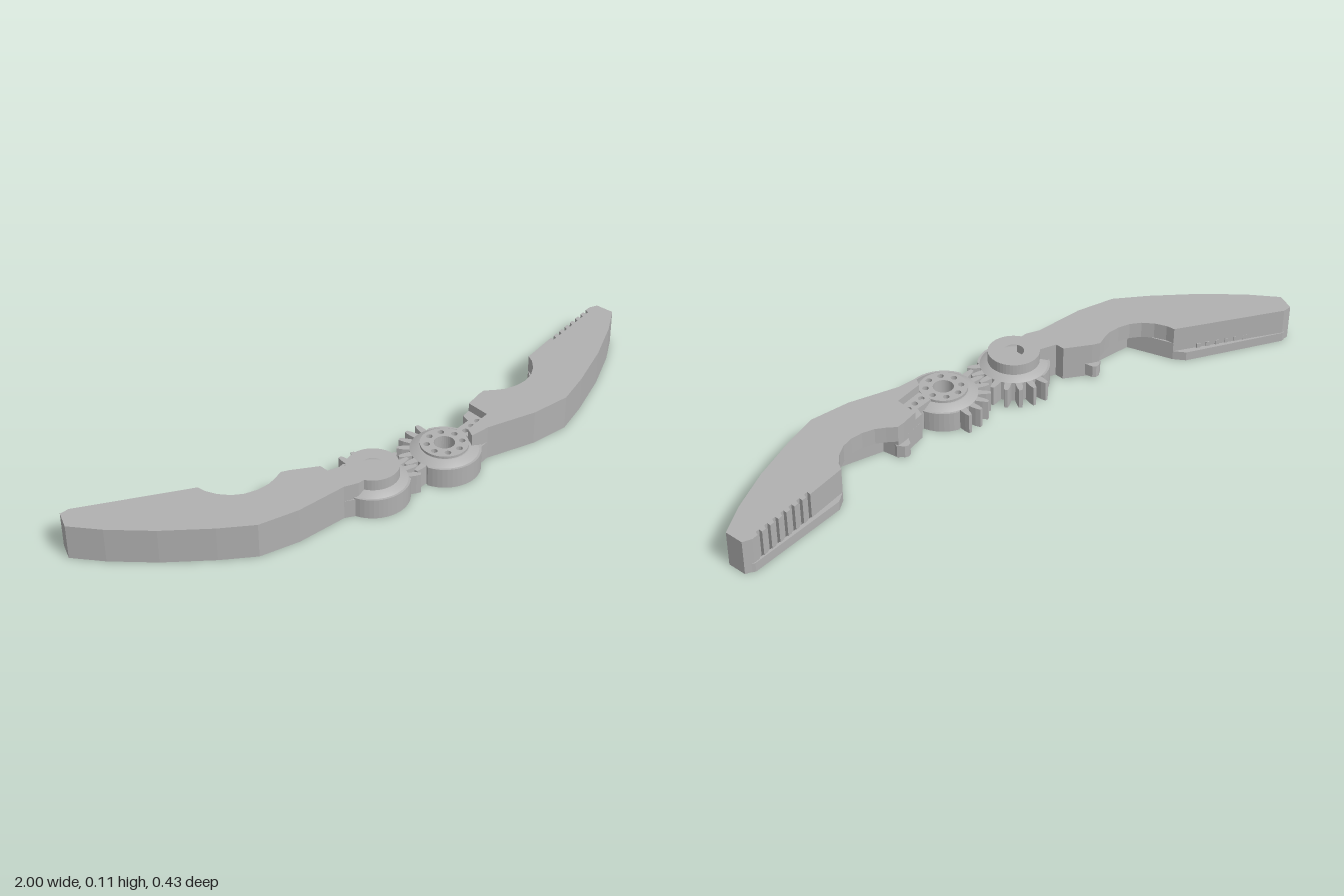
import * as THREE from 'three';

const HUB = [0.13, 0.1], HOLE_R = 0.032;

export function createModel() {
  const grey = new THREE.MeshStandardMaterial({ color: 0xb0b0b0 });
  grey.name = 'plain grey';
  const model = new THREE.Group();
  model.name = 'gearedGripper';

  const circle = (x, z, r, n = 32) => Array.from({ length: n }, (_, i) => {
    const a = (i / n) * Math.PI * 2;
    return [x + r * Math.cos(a), z - r * Math.sin(a)];
  });

  // Upright slab from a plan outline of [x, z] points; side mirrors it in x
  function slab(parent, name, side, outline, y0, y1, holes = []) {
    const toV = (pts) => pts.map(([x, z]) => new THREE.Vector2(x * side, -z));
    const shape = new THREE.Shape(toV(outline));
    for (const h of holes) shape.holes.push(new THREE.Path(toV(h)));
    const geo = new THREE.ExtrudeGeometry(shape, { depth: y1 - y0, bevelEnabled: false });
    geo.rotateX(-Math.PI / 2).translate(0, y0, 0);
    const mesh = new THREE.Mesh(geo, grey);
    mesh.name = name;
    parent.add(mesh);
  }

  // Hub outline with gear teeth on the back and inner side
  function gearOutline(firstDeg, count) {
    const pts = [];
    const put = (deg, r) => {
      const a = THREE.MathUtils.degToRad(deg);
      pts.push([HUB[0] + r * Math.cos(a), HUB[1] - r * Math.sin(a)]);
    };
    for (let k = 0; k < count; k++) {
      const d = firstDeg + k * 18;
      put(d - 6, 0.105);
      put(d - 4, 0.128);
      put(d - 2, 0.143);
      put(d + 2, 0.143);
      put(d + 4, 0.128);
      put(d + 6, 0.105);
    }
    const start = firstDeg + (count - 1) * 18 + 10, end = firstDeg + 360 - 10;
    for (let i = 0; i <= 30; i++) put(start + ((end - start) * i) / 30, 0.112);
    return pts;
  }

  const outerEdge = [
    [0.26, 0.143], [0.425, 0.162], [0.555, 0.153], [0.66, 0.1], [0.8, 0.015],
    [0.92, -0.075], [1, -0.15], [0.985, -0.21], [0.955, -0.215],
  ];
  const hollow = [
    [0.605, -0.095], [0.597, -0.068], [0.575, -0.035], [0.545, -0.008], [0.51, 0.008],
    [0.47, 0.013], [0.43, 0.008], [0.4, -0.005], [0.37, -0.022],
  ];
  const lowerNotch = [[0.605, -0.095], [0.53, 0.04], [0.39, 0.03], [0.37, -0.022]];
  const shoulder = [[0.345, -0.015], [0.26, 0.02], [0.255, 0.05]];

  for (const side of [1, -1]) {
    const ribbed = side === 1;
    const arm = new THREE.Group();
    arm.name = ribbed ? 'leftJaw' : 'rightJaw';
    model.add(arm);

    // Gripping edge: grooves along the left jaw, plain on the right
    const grip = [];
    if (ribbed) {
      for (let i = 0; i < 7; i++) {
        const x = 0.935 - i * 0.031, z = -0.215 + (0.955 - x) * 0.335;
        grip.push([x, z], [x - 0.002, z + 0.014], [x - 0.014, z + 0.018], [x - 0.016, z + 0.005]);
      }
    }

    // Arm: angular notch below, rounded hollow above
    slab(arm, 'lowerArm', side,
      [[0.19, 0.165], [0.225, 0.155], ...outerEdge, ...grip, ...lowerNotch, ...shoulder, [0.19, 0.06]], 0, 0.06);
    const inner = ribbed
      ? [[0.345, -0.015], [0.29, 0.008], [0.3, 0.085], [0.205, 0.117], [0.195, 0.15]]
      : [...shoulder, [0.185, 0.06], [0.175, 0.145], [0.215, 0.152]];
    slab(arm, 'upperArm', side, [...outerEdge, ...grip, ...hollow, ...inner], 0.06, 0.113);

    // Lip along the bottom of the gripping edge
    slab(arm, 'gripLip', side,
      [[0.965, -0.215], [0.955, -0.218], [0.635, -0.125], [0.605, -0.095]], 0, 0.03);
    if (!ribbed) {
      for (let i = 0; i < 8; i++) {
        const x = 0.9 - i * 0.03, z = -0.213 + (0.955 - x) * 0.32;
        slab(arm, 'gripRib', side,
          [[x, z], [x - 0.012, z + 0.004], [x - 0.012, z + 0.025], [x, z + 0.025]], 0.03, 0.045);
      }
    }

    // Small peg behind the shoulder
    slab(arm, 'hookPeg', side,
      [[0.325, -0.005], [0.335, -0.032], [0.345, -0.038], [0.357, -0.036], [0.375, -0.02], [0.375, 0]], 0.005, 0.045);

    // Toothed hub with a shaft hole
    const hole = circle(...HUB, HOLE_R);
    slab(arm, 'gearHub', side, gearOutline(ribbed ? 90 : 81, ribbed ? 7 : 8), 0, 0.065, [hole]);

    // Sloping collar on top of the hub
    const collarGeo = new THREE.LatheGeometry(
      [[0.105, 0.065], [0.08, 0.078], [0.07, 0.078]].map(([r, y]) => new THREE.Vector2(r, y)), 48);
    const collar = new THREE.Mesh(collarGeo, grey);
    collar.name = 'hubCollar';
    collar.position.set(side * HUB[0], 0, HUB[1]);
    arm.add(collar);

    if (ribbed) {
      // Low boss and recessed plate, both drilled for a servo horn
      const drill = [];
      for (let i = 0; i < 8; i++) {
        const a = (i / 8) * Math.PI * 2 + 0.35;
        drill.push(circle(HUB[0] + 0.054 * Math.cos(a), HUB[1] - 0.054 * Math.sin(a), 0.01, 12));
      }
      slab(arm, 'drilledBoss', side, circle(...HUB, 0.074, 48), 0.065, 0.086, [hole, ...drill]);
      slab(arm, 'drilledPlate', side,
        [[0.198, 0.066], [0.255, 0.05], [0.26, 0.02], [0.3, 0.005], [0.305, 0.085], [0.205, 0.12]], 0.06, 0.086,
        [0.218, 0.248, 0.278].map((x) => circle(x, 0.087 - (x - 0.218) * 0.35, 0.01, 12)));
    } else {
      slab(arm, 'tallBoss', side, circle(...HUB, 0.08, 48), 0.065, 0.113, [hole]);
    }
  }
  return model;
}
